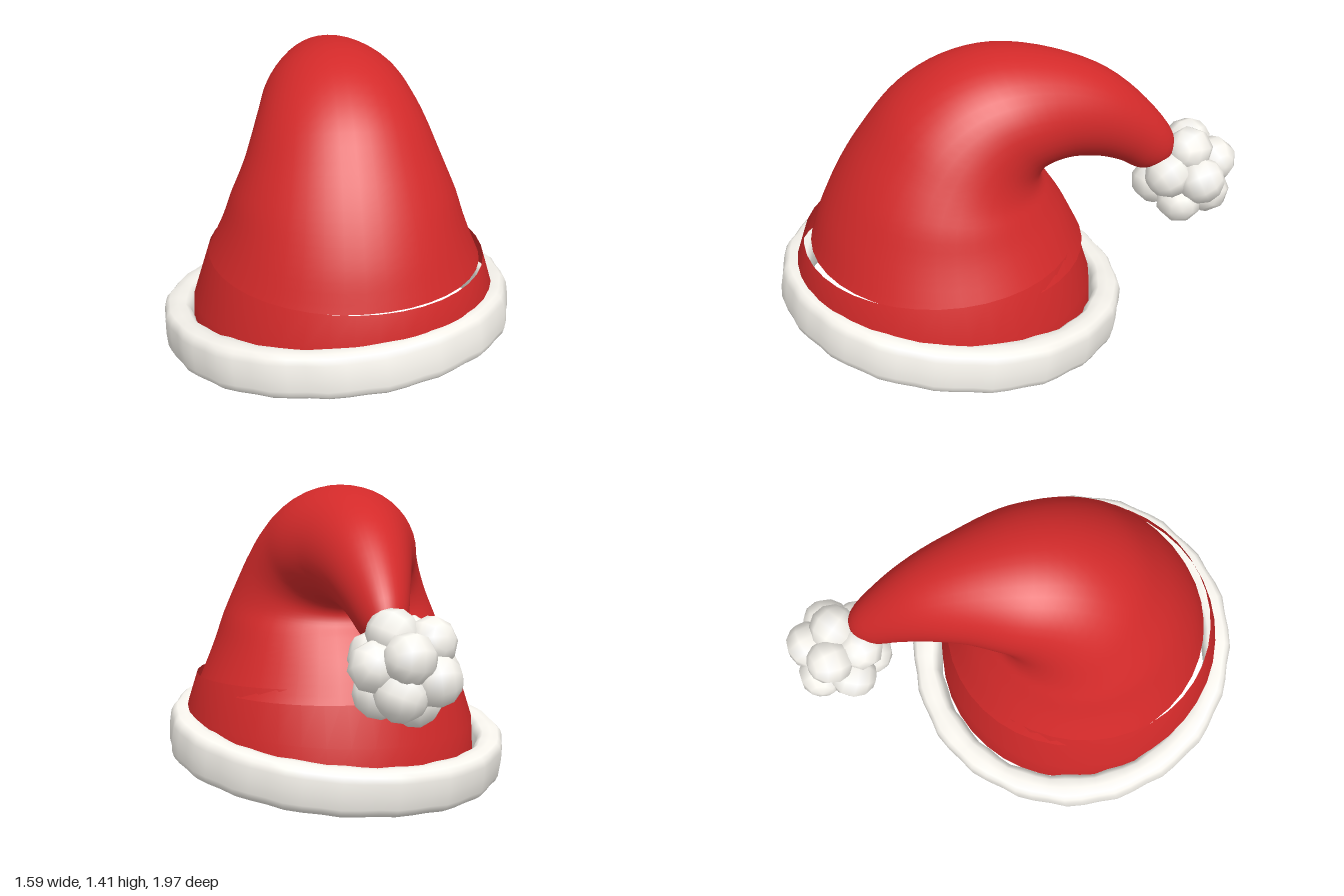
import * as THREE from 'three';

const red = new THREE.MeshStandardMaterial({ color: 0xd42a2a, side: THREE.DoubleSide });
const white = new THREE.MeshStandardMaterial({ color: 0xf8f5ee });

// Skin a list of closed rings; wrap joins the last ring to the first
function loft(rings, wrap = false) {
  const n = rings[0].length, m = rings.length, index = [];
  for (let i = 0; i < (wrap ? m : m - 1); i++) {
    for (let j = 0; j < n; j++) {
      const k = (j + 1) % n, r = ((i + 1) % m) * n;
      const a = i * n + j, b = i * n + k, c = r + k, d = r + j;
      index.push(a, b, c, a, c, d);
    }
  }
  const g = new THREE.BufferGeometry().setFromPoints(rings.flat());
  g.setIndex(index);
  g.computeVertexNormals();
  return g;
}

function part(name, geometry, material) {
  const mesh = new THREE.Mesh(geometry, material);
  mesh.name = name;
  return mesh;
}

// Cone that folds over: each section spans an outer and an inner point
// [outer reach, outer y, inner reach, inner y, sideways radius]
function bodyGeometry() {
  const sections = [
    [-0.60, 0.51, 0.645, 0.48, 0.62],
    [-0.545, 0.68, 0.565, 0.64, 0.55],
    [-0.46, 0.86, 0.495, 0.75, 0.50],
    [-0.355, 1.03, 0.455, 0.81, 0.45],
    [-0.205, 1.22, 0.45, 0.85, 0.40],
    [0.00, 1.355, 0.47, 0.88, 0.355],
    [0.23, 1.41, 0.51, 0.895, 0.315],
    [0.51, 1.375, 0.58, 0.897, 0.25],
    [0.75, 1.275, 0.70, 0.88, 0.19],
    [0.93, 1.12, 0.81, 0.84, 0.14],
    [1.055, 0.95, 0.90, 0.79, 0.095],
    [1.06, 0.87, 0.97, 0.80, 0.06],
    [1.02, 0.83, 1.01, 0.82, 0.01],
  ];
  const outer = new THREE.CatmullRomCurve3(sections.map(s => new THREE.Vector3(s[0], s[1], s[4])));
  const inner = new THREE.CatmullRomCurve3(sections.map(s => new THREE.Vector3(s[2], s[3], 0)));
  const dx = 0.51, dz = -0.86; // direction of the fold
  const rings = [], steps = 48, sides = 40;
  for (let i = 0; i <= steps; i++) {
    const o = outer.getPoint(i / steps), n = inner.getPoint(i / steps), ring = [];
    for (let j = 0; j < sides; j++) {
      const t = j / sides * Math.PI * 2;
      const mix = 0.5 + 0.5 * Math.cos(t), side = o.z * Math.sin(t);
      const reach = o.x + (n.x - o.x) * mix;
      ring.push(new THREE.Vector3(
        dx * reach + dz * side,
        o.y + (n.y - o.y) * mix,
        0.24 + dz * reach - dx * side));
    }
    rings.push(ring);
  }
  return loft(rings);
}

// Open band under the cone: [radius, centre y, centre z, slope towards the front]
function bandGeometry() {
  const rows = [[0.68, 0.20, 0.225, 0.14], [0.68, 0.34, 0.235, 0.08], [0.62, 0.535, 0.255, -0.02]];
  return loft(rows.map(([r, y, z, slope]) => Array.from({ length: 40 }, (_, j) => {
    const t = j / 40 * Math.PI * 2, c = r * Math.cos(t);
    return new THREE.Vector3(r * Math.sin(t), y + slope * c, z + c);
  })));
}

// Fluffy trim: rounded-box section swept round a slightly lumpy ring
function trimGeometry() {
  const count = 60, sides = 16, rings = [];
  const round = v => Math.sign(v) * Math.abs(v) ** 0.6;
  for (let i = 0; i < count; i++) {
    const a = i / count * Math.PI * 2, ring = [];
    const lump = 0.006 * Math.sin(a * 20) + 0.003 * Math.sin(a * 7);
    for (let j = 0; j < sides; j++) {
      const t = j / sides * Math.PI * 2;
      const r = 0.728 + (0.067 + lump) * round(Math.cos(t));
      ring.push(new THREE.Vector3(r * Math.cos(a), (0.104 + lump * 0.3) * round(Math.sin(t)), r * Math.sin(a)));
    }
    rings.push(ring);
  }
  return loft(rings, true);
}

// Pompom: a ball of small spheres, one on each corner of an icosahedron
function pompom() {
  const group = new THREE.Group();
  group.name = 'pompom';
  const p = (1 + Math.sqrt(5)) / 2;
  const ball = new THREE.SphereGeometry(0.108, 8, 6);
  for (const u of [-1, 1]) for (const v of [-p, p]) {
    for (const c of [[0, u, v], [u, v, 0], [v, 0, u]]) {
      const tuft = part('pompomTuft', ball, white);
      tuft.position.set(...c).setLength(0.142);
      tuft.rotation.set(c[0], c[1], c[2]);
      group.add(tuft);
    }
  }
  group.position.set(0.545, 0.725, -0.755);
  group.rotation.set(0.3, 0.4, 0.2);
  return group;
}

export function createModel() {
  const hat = new THREE.Group();
  hat.name = 'floppyHat';
  const trim = part('furTrim', trimGeometry(), white);
  trim.position.set(0, 0.212, 0.19);
  trim.rotation.x = -0.14;
  hat.add(
    part('foldedCone', bodyGeometry(), red),
    part('headBand', bandGeometry(), red),
    trim,
    pompom());
  return hat;
}
